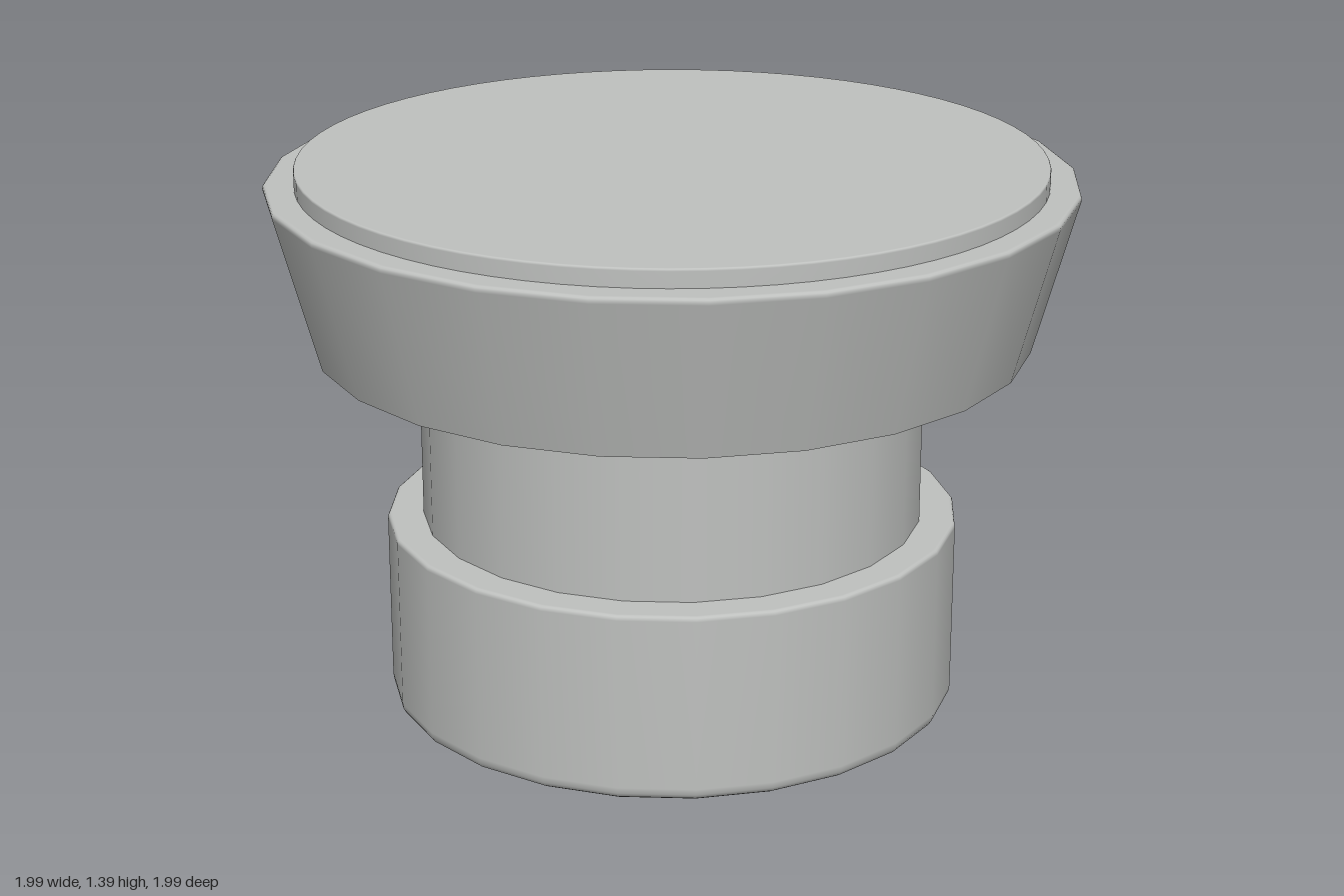
import * as THREE from 'three';

// Profile corner list [radius, height, bevel] -> lathe with crisp or rounded corners
function turned(name, corners, sides, material) {
  const pts = [];
  const v = corners.map(([x, y]) => new THREE.Vector2(x, y));
  corners.forEach(([, , bevel = 0], i) => {
    const p = v[i];
    if (i === 0 || i === v.length - 1) {
      pts.push(p);
    } else if (bevel === 0) {
      pts.push(p, p.clone()); // doubled point keeps the edge sharp
    } else {
      const a = p.clone().add(v[i - 1].clone().sub(p).setLength(bevel));
      const b = p.clone().add(v[i + 1].clone().sub(p).setLength(bevel));
      pts.push(...new THREE.QuadraticBezierCurve(a, p, b).getPoints(4));
    }
  });
  const geometry = new THREE.LatheGeometry(pts, sides);
  geometry.normalizeNormals();
  const mesh = new THREE.Mesh(geometry, material);
  mesh.name = name;
  return mesh;
}

export function createModel() {
  const group = new THREE.Group();
  group.name = 'pedestalKnob';
  const grey = new THREE.MeshStandardMaterial({ color: 0xbfc1bf });
  grey.name = 'light grey';

  group.add(
    // Foot with a softened lower rim
    turned('base', [[0, 0], [0.72, 0, 0.035], [0.72, 0.48, 0.012], [0, 0.48]], 24, grey),
    // Narrow waist
    turned('neck', [[0, 0.47], [0.63, 0.47], [0.63, 0.89], [0, 0.89]], 24, grey),
    // Flared head with a sloping underside
    turned('head', [[0, 0.875], [0.63, 0.875], [0.89, 0.94], [1, 1.345, 0.016], [0, 1.345]], 24, grey),
    // Thin round plate on top
    turned('topPlate', [[0, 1.335], [0.92, 1.335], [0.92, 1.39, 0.006], [0, 1.39]], 72, grey),
  );
  return group;
}
